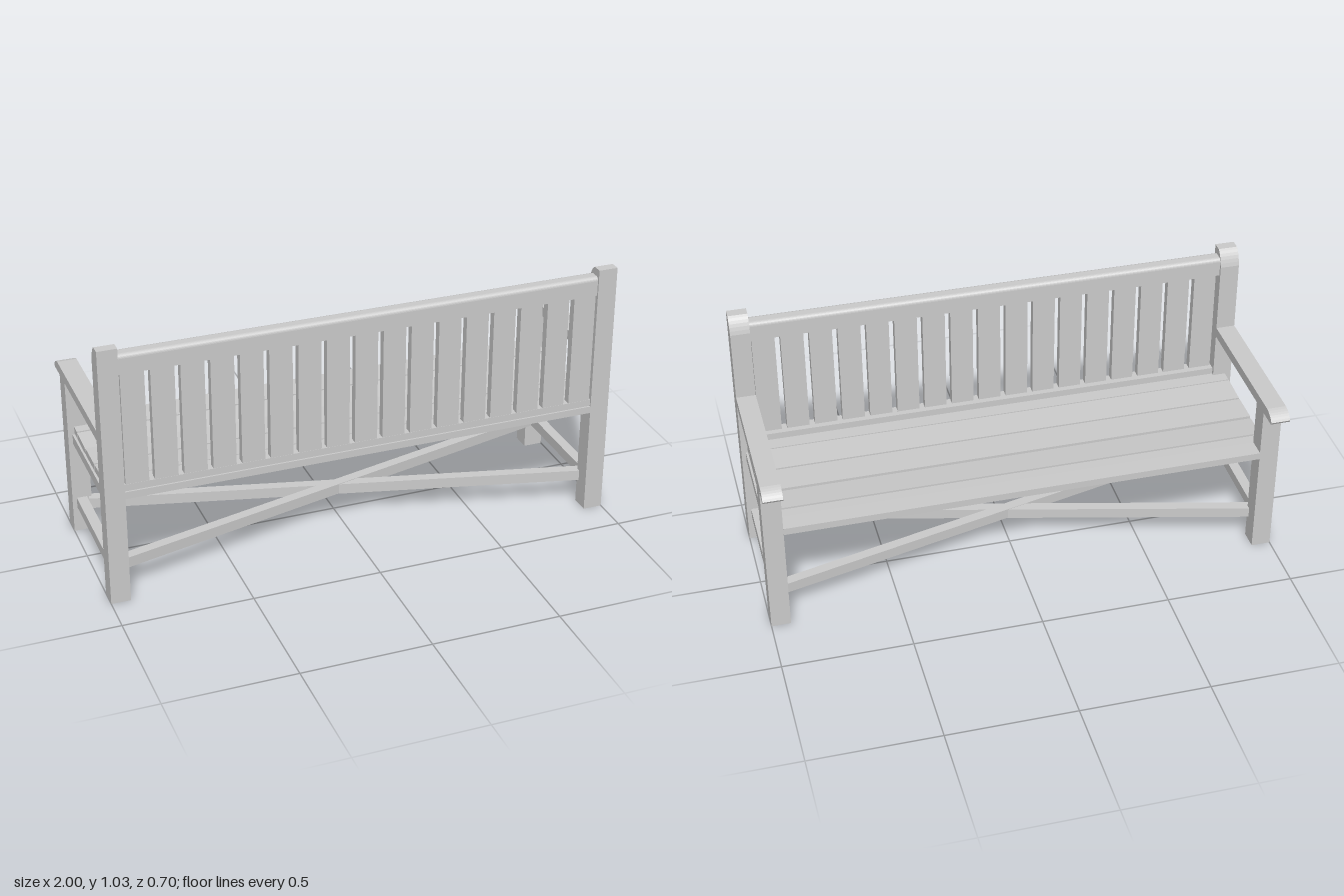
import * as THREE from 'three';

const material = new THREE.MeshStandardMaterial({ color: 0xcccccc, flatShading: true });

function add(parent, name, geometry) {
  const mesh = new THREE.Mesh(geometry, material);
  mesh.name = name;
  parent.add(mesh);
  return mesh;
}

// Box given by its minimum and maximum on each axis
function bar(parent, name, [x0, x1], [y0, y1], [z0, z1]) {
  const mesh = add(parent, name, new THREE.BoxGeometry(x1 - x0, y1 - y0, z1 - z0));
  mesh.position.set((x0 + x1) / 2, (y0 + y1) / 2, (z0 + z1) / 2);
  return mesh;
}

// Side profile in (z, y), extruded along x from x0 to x1
function profileX(parent, name, shape, x0, x1) {
  const geometry = new THREE.ExtrudeGeometry(shape, { depth: x1 - x0, bevelEnabled: false, curveSegments: 6 });
  geometry.rotateY(-Math.PI / 2); // shape x becomes z, depth runs to -x
  geometry.translate(x1, 0, 0);
  return add(parent, name, geometry);
}

// Back post with its top rounded over on the seat side
function postShape() {
  const s = new THREE.Shape();
  s.moveTo(0.278, 0);
  s.lineTo(0.352, 0);
  s.lineTo(0.352, 1.03);
  s.lineTo(0.313, 1.03);
  s.quadraticCurveTo(0.288, 1.015, 0.278, 0.965);
  s.closePath();
  return s;
}

// Armrest with a rounded nose
function armShape() {
  const s = new THREE.Shape();
  s.moveTo(-0.345, 0.645);
  s.lineTo(0.278, 0.645);
  s.lineTo(0.278, 0.685);
  s.lineTo(-0.298, 0.685);
  s.quadraticCurveTo(-0.335, 0.679, -0.35, 0.654);
  s.closePath();
  return s;
}

// Top rail with softened upper edges
function topRailShape() {
  const s = new THREE.Shape();
  s.moveTo(0.288, 0.925);
  s.lineTo(0.345, 0.925);
  s.lineTo(0.345, 0.985);
  s.quadraticCurveTo(0.344, 0.999, 0.33, 1.0);
  s.lineTo(0.303, 1.0);
  s.quadraticCurveTo(0.289, 0.999, 0.288, 0.985);
  s.closePath();
  return s;
}

// Seat slat from z0 to z1 with top heights y0 and y1
function slatShape(z0, y0, z1, y1) {
  const t = 0.028;
  return new THREE.Shape([
    new THREE.Vector2(z0, y0 - t), new THREE.Vector2(z1, y1 - t),
    new THREE.Vector2(z1, y1), new THREE.Vector2(z0, y0),
  ]);
}

export function createModel() {
  const bench = new THREE.Group();
  bench.name = 'bench';

  // End frames, mirrored left and right
  for (const side of [-1, 1]) {
    const end = new THREE.Group();
    end.name = side > 0 ? 'leftEndFrame' : 'rightEndFrame';
    const span = (a, b) => (side > 0 ? [a, b] : [-b, -a]);
    const outer = span(0.925, 1);
    const inset = span(0.943, 0.983);
    profileX(end, 'backPost', postShape(), ...outer);
    bar(end, 'frontLeg', outer, [0, 0.645], [-0.268, -0.193]);
    profileX(end, 'armrest', armShape(), ...outer);
    bar(end, 'seatRail', inset, [0.383, 0.423], [-0.193, 0.278]);
    bar(end, 'sideStretcher', inset, [0.103, 0.145], [-0.193, 0.278]);
    bench.add(end);
  }

  // Dished seat; the outermost slats are notched around the legs and posts
  const seat = new THREE.Group();
  seat.name = 'seat';
  const long = 0.975, short = 0.925;
  const slats = [
    [-0.27, 0.457, -0.193, 0.456, short],
    [-0.193, 0.456, -0.152, 0.455, long],
    [-0.143, 0.455, -0.028, 0.446, long],
    [-0.022, 0.452, 0.1, 0.452, long],
    [0.108, 0.452, 0.228, 0.458, long],
    [0.233, 0.458, 0.278, 0.458, long],
    [0.278, 0.458, 0.352, 0.458, short],
  ];
  for (const [z0, y0, z1, y1, half] of slats) {
    profileX(seat, 'seatSlat', slatShape(z0, y0, z1, y1), -half, half);
  }
  bench.add(seat);

  // Backrest
  const back = new THREE.Group();
  back.name = 'backrest';
  profileX(back, 'topRail', topRailShape(), -0.925, 0.925);
  bar(back, 'lowerRail', [-0.925, 0.925], [0.458, 0.485], [0.29, 0.345]);
  const count = 17, width = 0.088, pitch = (1.84 - width) / (count - 1);
  for (let i = 0; i < count; i++) {
    const x = -0.92 + i * pitch;
    bar(back, 'backSlat', [x, x + width], [0.485, 0.925], [0.313, 0.344]);
  }
  bench.add(back);

  // Crossed stretchers between opposite corners
  const dx = 1.87, dz = 0.47;
  for (const side of [-1, 1]) {
    const brace = add(bench, 'crossStretcher', new THREE.BoxGeometry(Math.hypot(dx, dz), 0.042, 0.04));
    brace.position.set(0, 0.123 + side * 0.001, 0.042);
    brace.rotation.y = side * Math.atan2(dz, dx);
  }

  return bench;
}
